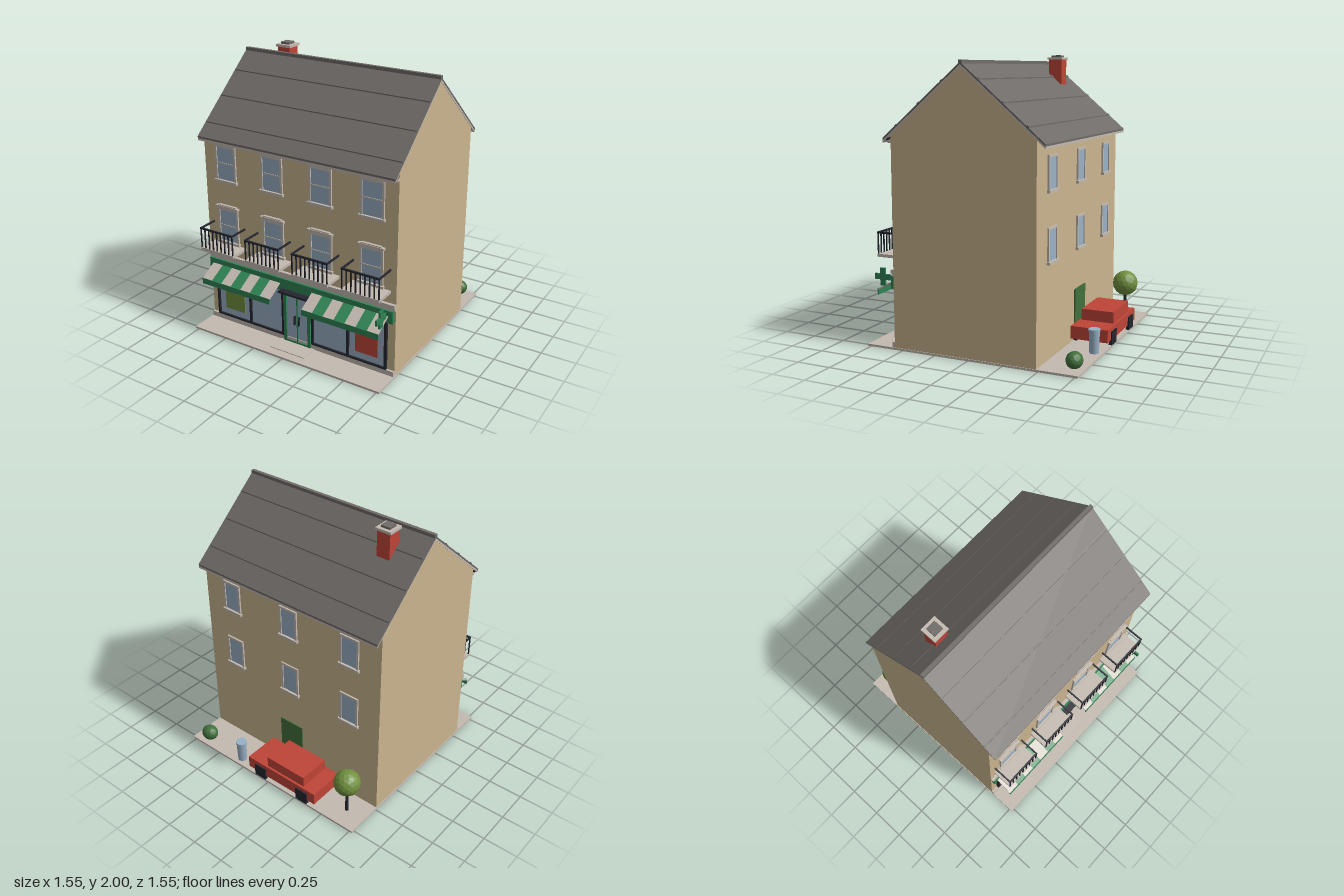
import * as THREE from 'three';

const paint = (name, color, side = THREE.FrontSide) => {
  const m = new THREE.MeshStandardMaterial({ color, side });
  m.name = name;
  return m;
};

export function createModel() {
  const wall = paint('sand wall', 0xcab58f);
  const stone = paint('pale stone', 0xc3bab0);
  const slate = paint('slate', 0x6f6b68);
  const iron = paint('dark iron', 0x24262e);
  const green = paint('shop green', 0x2f8355);
  const glass = paint('glass blue', 0x99b1c6);
  const red = paint('brick red', 0xbf4438);
  const olive = paint('leaf green', 0x71903f);
  const forest = paint('deep green', 0x42703c);
  const root = new THREE.Group();
  root.name = 'townhouseShop';

  const group = (name, x = 0, y = 0, z = 0) => {
    const g = new THREE.Group();
    g.name = name;
    g.position.set(x, y, z);
    root.add(g);
    return g;
  };
  const add = (parent, name, geo, mat, x = 0, y = 0, z = 0) => {
    const m = new THREE.Mesh(geo, mat);
    m.name = name;
    m.position.set(x, y, z);
    parent.add(m);
    return m;
  };
  // Box given by its limits on each axis
  const box = (parent, name, mat, x0, x1, y0, y1, z0, z1) =>
    add(parent, name, new THREE.BoxGeometry(x1 - x0, y1 - y0, z1 - z0), mat,
      (x0 + x1) / 2, (y0 + y1) / 2, (z0 + z1) / 2);
  // Side profile of [z, y] points, extruded across x from x0 to x1
  const profile = (parent, name, mat, pts, x0, x1) => {
    const shape = new THREE.Shape(pts.map(([z, y]) => new THREE.Vector2(z, y)));
    const geo = new THREE.ExtrudeGeometry(shape, { depth: x1 - x0, bevelEnabled: false });
    geo.rotateY(-Math.PI / 2);
    return add(parent, name, geo, mat, x1);
  };

  // Ground and walls
  box(root, 'pavement', stone, -0.775, 0.775, 0, 0.015, -0.775, 0.775);
  box(root, 'doorStep', stone, -0.143, 0.143, 0.002, 0.02, 0.56, 0.71);
  profile(root, 'houseWalls', wall,
    [[0.56, 0.005], [0.56, 1.47], [0.035, 1.917], [-0.49, 1.47], [-0.49, 0.005]], -0.77, 0.77);

  // Roof: slate layer over a pale verge layer, raised courses and a ridge
  const roof = group('roof');
  const roofY = z => 1.945 - Math.abs(z - 0.035) * 0.851;
  const chevron = (name, mat, top, bottom, w) => profile(roof, name, mat, [
    [0.62, roofY(0.62) - top], [0.035, 1.945 - top], [-0.55, roofY(-0.55) - top],
    [-0.55, roofY(-0.55) - bottom], [0.035, 1.945 - bottom], [0.62, roofY(0.62) - bottom]], -w, w);
  chevron('roofSlates', slate, 0, 0.014, 0.775);
  chevron('roofVerge', stone, 0.014, 0.03, 0.773);
  for (const z of [0.18, 0.35, 0.525, -0.09, -0.26, -0.43]) {
    const a = z - 0.006, b = z + 0.006;
    profile(roof, 'slateCourse', slate, [[a, roofY(a) - 0.003], [b, roofY(b) - 0.003],
      [b, roofY(b) + 0.008], [a, roofY(a) + 0.008]], -0.77, 0.77);
  }
  box(roof, 'ridgeCap', slate, -0.775, 0.775, 1.932, 1.957, 0.022, 0.048);
  box(roof, 'gutter', iron, -0.77, 0.77, 1.434, 1.452, 0.575, 0.605);
  box(roof, 'eavesCornice', stone, -0.77, 0.77, 1.415, 1.436, 0.56, 0.585);

  // Chimney
  const chimney = group('chimney', -0.515, 0, -0.107);
  box(chimney, 'chimneyStack', red, -0.05, 0.05, 1.78, 1.97, -0.05, 0.05);
  box(chimney, 'chimneyCap', stone, -0.06, 0.06, 1.967, 1.985, -0.06, 0.06);
  box(chimney, 'chimneyPot', iron, -0.035, 0.035, 1.985, 2.0, -0.035, 0.035).material = slate;

  // Window with a four-sided surround; z = 0 is the wall face, +z is outward
  const sash = (g, w, h) => {
    box(g, 'windowGlass', glass, -w, w, 0, h, -0.01, 0.005);
    for (const s of [-1, 1]) box(g, 'windowJamb', stone, s * w - 0.008, s * w + 0.008, 0, h, 0, 0.012);
    box(g, 'windowHead', stone, -w - 0.008, w + 0.008, h - 0.008, h + 0.008, 0, 0.012);
    box(g, 'windowSill', stone, -w - 0.017, w + 0.017, -0.013, 0.005, 0, 0.022);
  };

  // Front windows and balconies
  for (const x of [-0.585, -0.195, 0.195, 0.585]) {
    for (const y of [0.665, 1.135]) {
      const g = group('frontWindow', x, y, 0.56);
      sash(g, 0.08, 0.25);
      box(g, 'sashBar', stone, -0.08, 0.08, 0.122, 0.13, 0, 0.009);
      box(g, 'windowLintel', stone, -0.085, 0.085, 0.252, 0.265, 0, 0.018);
      box(g, 'lintelMoulding', stone, -0.097, 0.097, 0.262, 0.278, 0, 0.024);
      box(g, 'lintelTop', stone, -0.075, 0.075, 0.276, 0.285, 0, 0.02);
    }
    const b = group('balcony', x, 0, 0);
    box(b, 'balconySlab', stone, -0.143, 0.143, 0.627, 0.648, 0.56, 0.712);
    box(b, 'frontRail', iron, -0.143, 0.143, 0.79, 0.802, 0.7, 0.712);
    for (const s of [-1, 1])
      box(b, 'sideRail', iron, s * 0.138 - 0.005, s * 0.138 + 0.005, 0.79, 0.802, 0.56, 0.705);
    for (let i = 0; i < 9; i++) {
      const bx = -0.138 + i * 0.0345;
      box(b, 'baluster', iron, bx - 0.004, bx + 0.004, 0.645, 0.795, 0.702, 0.71);
    }
  }

  // Back windows and door
  for (const x of [-0.52, 0, 0.52]) for (const y of [0.668, 1.135]) {
    const g = group('backWindow', x, y, -0.49);
    g.rotation.y = Math.PI;
    sash(g, 0.068, 0.22);
  }
  box(root, 'backDoor', forest, -0.1, 0.1, 0.015, 0.38, -0.499, -0.485);

  // Stone bands and fascia
  const shop = group('shopFront');
  box(shop, 'stringCourse', stone, -0.77, 0.77, 0.53, 0.557, 0.555, 0.583);
  box(shop, 'lowerBand', stone, -0.77, 0.77, 0.51, 0.531, 0.555, 0.572);
  box(shop, 'plinth', stone, -0.77, 0.77, 0.015, 0.052, 0.555, 0.578);
  box(shop, 'fascia', green, -0.76, 0.76, 0.42, 0.51, 0.555, 0.588);

  // Shop windows, posters and striped awnings
  for (const s of [-1, 1]) {
    const mid = s * 0.4145;
    box(shop, 'shopGlass', glass, mid - 0.29, mid + 0.29, 0.055, 0.42, 0.555, 0.567);
    for (const x of [0.124, 0.412, 0.705])
      box(shop, 'windowMullion', iron, s * x - 0.009, s * x + 0.009, 0.052, 0.42, 0.56, 0.58);
    box(shop, 'windowBase', iron, mid - 0.299, mid + 0.299, 0.052, 0.066, 0.56, 0.58);
    box(shop, 'poster', s < 0 ? olive : red, s * 0.557 - 0.087, s * 0.557 + 0.087, 0.117, 0.332, 0.565, 0.572);
    const start = s < 0 ? -0.73 : 0.132, w = 0.085;
    for (let i = 0; i < 7; i++)
      profile(shop, 'awningStripe', i % 2 ? green : stone,
        [[0.58, 0.468], [0.712, 0.394], [0.716, 0.402], [0.58, 0.477]], start + i * w, start + (i + 1) * w);
    box(shop, 'awningValance', green, start, start + 7 * w, 0.36, 0.403, 0.71, 0.718);
  }

  // Entrance
  const door = group('entrance');
  box(door, 'doorGlass', glass, -0.095, 0.095, 0.02, 0.4, 0.555, 0.572);
  for (const s of [-1, 1]) {
    box(door, 'doorJamb', green, s * 0.1 - 0.012, s * 0.1 + 0.012, 0.015, 0.41, 0.56, 0.586);
    box(door, 'doorHandle', iron, s * 0.018 - 0.004, s * 0.018 + 0.004, 0.17, 0.24, 0.575, 0.592);
  }
  box(door, 'doorHead', green, -0.112, 0.112, 0.385, 0.41, 0.56, 0.586);
  box(door, 'doorBottomRail', green, -0.1, 0.1, 0.018, 0.033, 0.56, 0.584);
  box(door, 'doorMeetingStile', green, -0.005, 0.005, 0.02, 0.39, 0.56, 0.58);
  box(door, 'doorCanopy', iron, -0.12, 0.12, 0.422, 0.436, 0.56, 0.637);

  // Projecting cross sign
  const sign = group('crossSign');
  const a = 0.02, r = 0.062;
  profile(sign, 'signCross', green, [[a, -r], [a, -a], [r, -a], [r, a], [a, a], [a, r],
    [-a, r], [-a, a], [-r, a], [-r, -a], [-a, -a], [-a, -r]].map(([z, y]) => [0.674 + z, 0.49 + y]), 0.715, 0.729);
  box(sign, 'signBracket', iron, 0.718, 0.726, 0.486, 0.494, 0.58, 0.62);

  // Parked car
  const car = group('car');
  box(car, 'carBody', red, -0.435, 0.185, 0.05, 0.14, -0.768, -0.498);
  box(car, 'carCabin', red, -0.325, 0.012, 0.14, 0.22, -0.75, -0.515);
  for (const x of [-0.32, 0.068]) for (const z of [-0.766, -0.507])
    box(car, 'wheel', iron, x - 0.05, x + 0.05, 0.018, 0.112, z - 0.012, z + 0.012);

  // Tree, bush and bin
  const leaf = (name, mat, rad, x, y, z, detail) => {
    const geo = new THREE.IcosahedronGeometry(rad, detail);
    return add(root, name, geo, mat, x, y, z);
  };
  olive.flatShading = forest.flatShading = true;
  leaf('treeCrown', olive, 0.095, -0.622, 0.275, -0.635, 2);
  add(root, 'treeTrunk', new THREE.CylinderGeometry(0.01, 0.013, 0.19, 8), iron, -0.622, 0.11, -0.635);
  leaf('bush', forest, 0.06, 0.657, 0.073, -0.706, 2).scale.set(1.08, 0.95, 0.95);
  add(root, 'bin', new THREE.CylinderGeometry(0.038, 0.033, 0.155, 12), glass, 0.308, 0.0925, -0.715);
  add(root, 'binLid', new THREE.CylinderGeometry(0.042, 0.042, 0.014, 12), glass, 0.308, 0.174, -0.715);
  return root;
}
